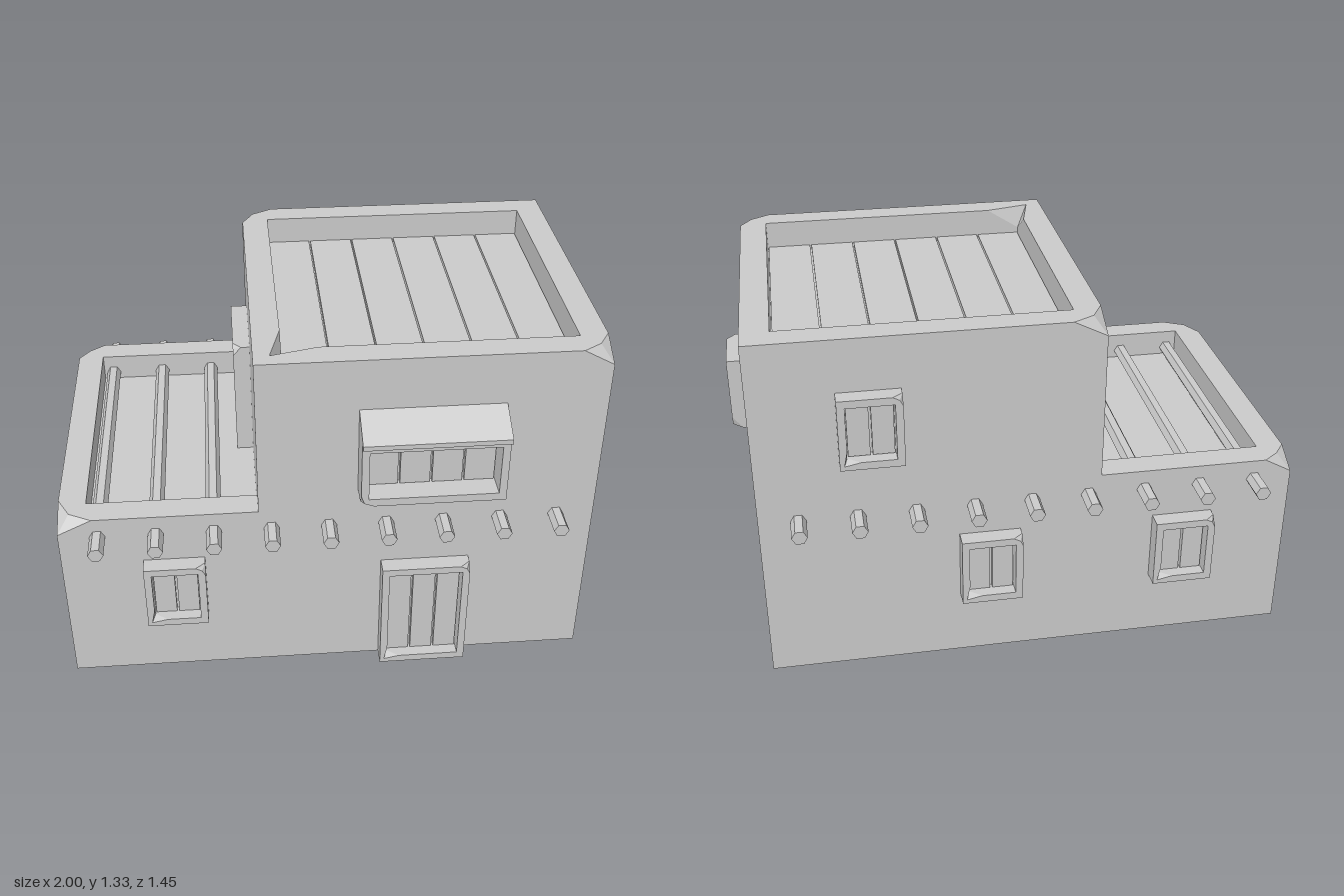
import * as THREE from 'three';
import { ConvexGeometry } from 'three/addons/geometries/ConvexGeometry.js';
import { mergeGeometries } from 'three/addons/utils/BufferGeometryUtils.js';

const material = new THREE.MeshStandardMaterial({ color: 0xcccccc, flatShading: true });

function add(parent, name, geometry) {
  const mesh = new THREE.Mesh(geometry, material);
  mesh.name = name;
  parent.add(mesh);
  return mesh;
}

function box(x0, x1, y0, y1, z0, z1) {
  return new THREE.BoxGeometry(x1 - x0, y1 - y0, z1 - z0)
    .translate((x0 + x1) / 2, (y0 + y1) / 2, (z0 + z1) / 2);
}

// Rectangular ring of mitred bars lying in xy and rising along z.
// Corners: 0 bottom left, 1 bottom right, 2 top right, 3 top left; bar i runs from corner i.
// outer / inner map a corner to a worn chip [length along the edges, drop].
function ring(x0, y0, x1, y1, [left, bottom, right, top], height, { outer = {}, inner = {}, skip = -1 } = {}) {
  const V = (x, y) => new THREE.Vector3(x, y, 0);
  const out = [V(x0, y0), V(x1, y0), V(x1, y1), V(x0, y1)];
  const inn = [V(x0 + left, y0 + bottom), V(x1 - right, y0 + bottom),
    V(x1 - right, y1 - top), V(x0 + left, y1 - top)];
  const lift = (p, z) => p.clone().setZ(z);
  const bars = [];
  for (let i = 0; i < 4; i++) {
    if (i === skip) continue;
    const points = [];
    for (const [c, other] of [[i, (i + 1) % 4], [(i + 1) % 4, i]]) {
      for (const [edge, opposite, chips] of [[out, inn, outer], [inn, out, inner]]) {
        const p = edge[c], chip = chips[c];
        points.push(lift(p, 0));
        if (!chip) { points.push(lift(p, height)); continue; }
        const along = edge[other].clone().sub(p).setLength(chip[0]);
        points.push(lift(p, height - chip[1]), lift(p.clone().add(along), height),
          lift(p.clone().lerp(opposite[c], 0.43), height));
      }
    }
    bars.push(new ConvexGeometry(points));
  }
  return mergeGeometries(bars);
}

// Framed opening standing on a wall, with upright panels separated by thin gaps
function opening(parent, name, { w, h, depth = 0.063, panels = 2, border = [0.027, 0.028, 0.027, 0.028], chips, at, turn = 0 }) {
  const group = new THREE.Group();
  group.name = name;
  const wear = chips ?? { outer: { 2: [0.035, 0.03] }, inner: { 0: [0.045, 0.035] } };
  add(group, 'frame', ring(-w / 2, 0, w / 2, h, border, depth, wear));
  const [l, b, r, t] = border;
  const step = (w - l - r) / panels;
  for (let i = 0; i < panels; i++) {
    const x = -w / 2 + l + i * step;
    add(group, 'panel', box(x + 0.004, x + step - 0.004, b + 0.003, h - t - 0.003, -0.01, 0.022));
  }
  group.position.set(...at);
  group.rotation.y = turn;
  parent.add(group);
}

export function createModel() {
  const model = new THREE.Group();
  model.name = 'house';
  const front = 0.595, back = -0.625, east = 0.935, mid = -0.285, west = -1;

  // Low wing with a sunken terrace, open toward the tower
  add(model, 'wingWalls', ring(west, -front, mid, -back, [0.1, 0.1, 0, 0.1], 0.715, {
    outer: { 0: [0.125, 0.06], 3: [0.1, 0.055] }, skip: 1,
  }).rotateX(-Math.PI / 2));
  add(model, 'terraceFloor', box(west + 0.1, mid, 0, 0.61, back + 0.1, front - 0.1));

  // Two-storey tower with a parapet
  add(model, 'towerWalls', ring(mid, -front, east, -back, [0.1, 0.1, 0.1, 0.1], 1.325, {
    outer: { 1: [0.11, 0.06], 3: [0.12, 0.06] }, inner: { 0: [0.125, 0.08] },
  }).rotateX(-Math.PI / 2));
  add(model, 'towerCore', box(mid + 0.1, east - 0.1, 0, 1.205, back + 0.1, front - 0.1));

  // Roof planks
  for (let i = 0; i < 6; i++) {
    const x = mid + 0.1 + i * 0.17;
    add(model, 'roofPlank', box(x + 0.003, x + 0.167, 1.2, 1.225, back + 0.103, front - 0.103));
  }

  // Hexagonal roof beams poking through front and back walls
  for (let i = 0; i < 9; i++) {
    const beam = new THREE.CylinderGeometry(0.028, 0.028, 1.43, 6)
      .rotateY(Math.PI / 2).rotateX(Math.PI / 2);
    add(model, 'roofBeam', beam).position.set(-0.86 + i * 0.2069, 0.64, -0.015);
  }

  // Doors
  const door = { w: 0.325, h: 0.46, panels: 3 };
  opening(model, 'frontDoor', { ...door, at: [0.3225, 0, front] });
  opening(model, 'terraceDoor', { ...door, at: [mid, 0.61, -0.1175], turn: -Math.PI / 2 });

  // Small windows
  const small = { w: 0.222, h: 0.265 };
  opening(model, 'frontWindow', { ...small, at: [-0.595, 0.256, front] });
  opening(model, 'sideWindow', {
    ...small, at: [east, 0.865, -0.2175], turn: Math.PI / 2,
    chips: { outer: { 1: [0.045, 0.035], 3: [0.035, 0.03] } },
  });
  for (const [x, y] of [[-0.595, 0.256], [0.12, 0.256], [0.53, 0.865]]) {
    opening(model, 'backWindow', { ...small, at: [x, y, back], turn: Math.PI });
  }

  // Wide upper window with a sloping awning
  opening(model, 'wideWindow', {
    w: 0.51, h: 0.26, depth: 0.105, panels: 4, border: [0.027, 0.03, 0.027, 0.035],
    chips: { outer: { 0: [0.045, 0.035] } }, at: [0.325, 0.795, front],
  });
  const profile = new THREE.Shape([[0, 1.05], [0.105, 1.05], [0.105, 1.06], [0.128, 1.047], [0.128, 1.065], [0, 1.13]]
    .map(([z, y]) => new THREE.Vector2(z, y)));
  add(model, 'awning', new THREE.ExtrudeGeometry(profile, { depth: 0.51, bevelEnabled: false })
    .rotateY(-Math.PI / 2).translate(0.58, 0, front));

  return model;
}
